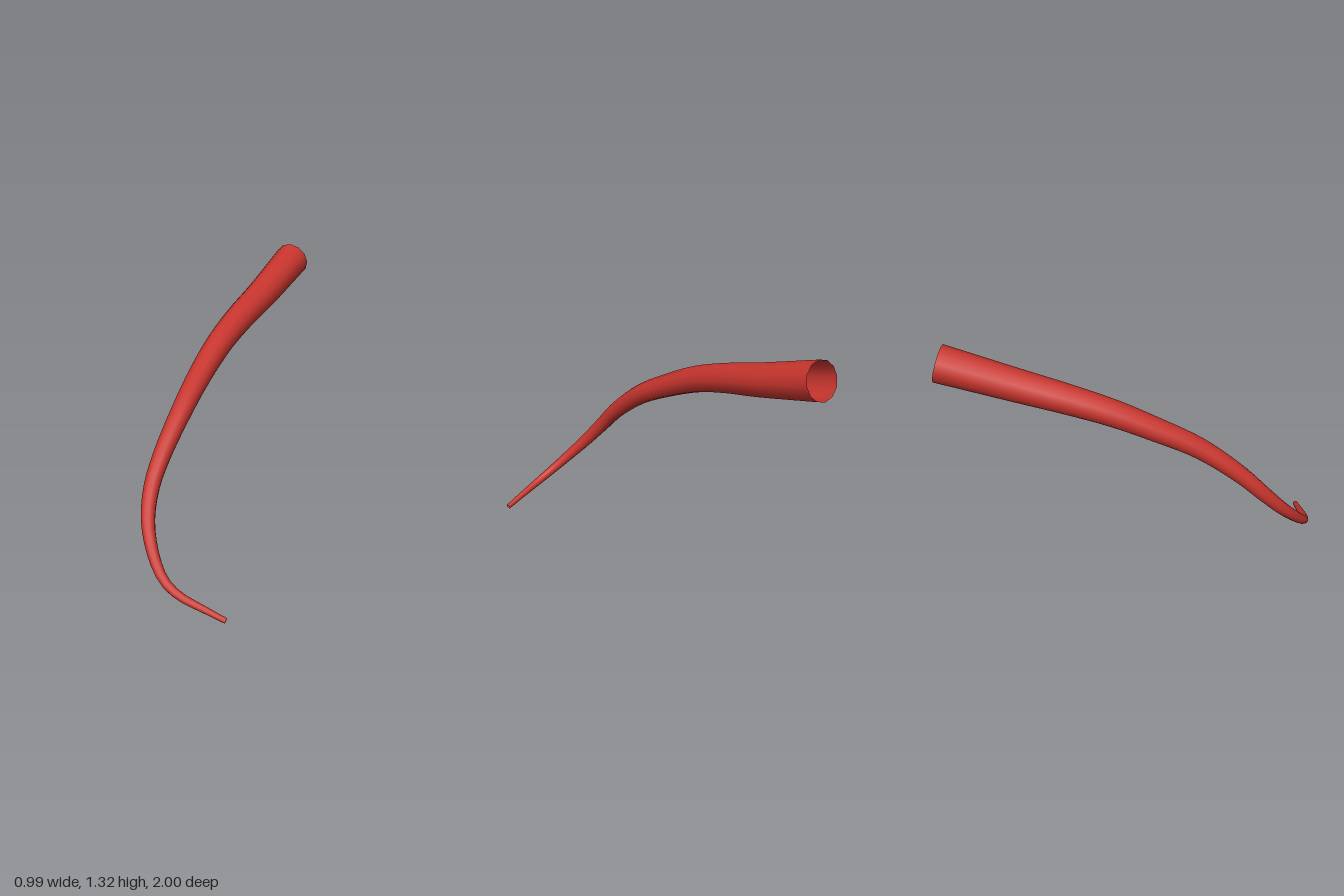
import * as THREE from 'three';

const RINGS = 48, SIDES = 12;
const TIP_RADIUS = 0.014, MOUTH_RADIUS = 0.1;

// Centre line from the thin tip to the wide open mouth
const path = new THREE.CatmullRomCurve3([
  [-0.094, 0.016, 0.987],
  [-0.2, 0.057, 0.942],
  [-0.31, 0.1, 0.893],
  [-0.38, 0.148, 0.84],
  [-0.43, 0.23, 0.755],
  [-0.459, 0.36, 0.625],
  [-0.439, 0.49, 0.505],
  [-0.385, 0.61, 0.395],
  [-0.275, 0.775, 0.2],
  [-0.172, 0.89, 0],
  [-0.06, 0.988, -0.2],
  [0.063, 1.06, -0.4],
  [0.195, 1.12, -0.6],
  [0.412, 1.231, -0.946],
].map(p => new THREE.Vector3(...p)));

// Tube whose radius grows evenly along its length
function taperedTube(curve, r0, r1) {
  const geo = new THREE.TubeGeometry(curve, RINGS, 1, SIDES, false);
  const pos = geo.attributes.position;
  const v = new THREE.Vector3();
  for (let i = 0; i <= RINGS; i++) {
    const t = i / RINGS;
    const centre = curve.getPointAt(t);
    const r = THREE.MathUtils.lerp(r0, r1, t);
    for (let j = 0; j <= SIDES; j++) {
      const k = i * (SIDES + 1) + j;
      v.fromBufferAttribute(pos, k).sub(centre).multiplyScalar(r).add(centre);
      pos.setXYZ(k, v.x, v.y, v.z);
    }
  }
  return geo;
}

export function createModel() {
  const red = new THREE.MeshStandardMaterial({ color: 0xc8352e, side: THREE.DoubleSide });
  red.name = 'red';
  const horn = new THREE.Mesh(taperedTube(path, TIP_RADIUS, MOUTH_RADIUS), red);
  horn.name = 'curvedHorn';
  const model = new THREE.Group();
  model.name = 'horn';
  model.add(horn);
  return model;
}
